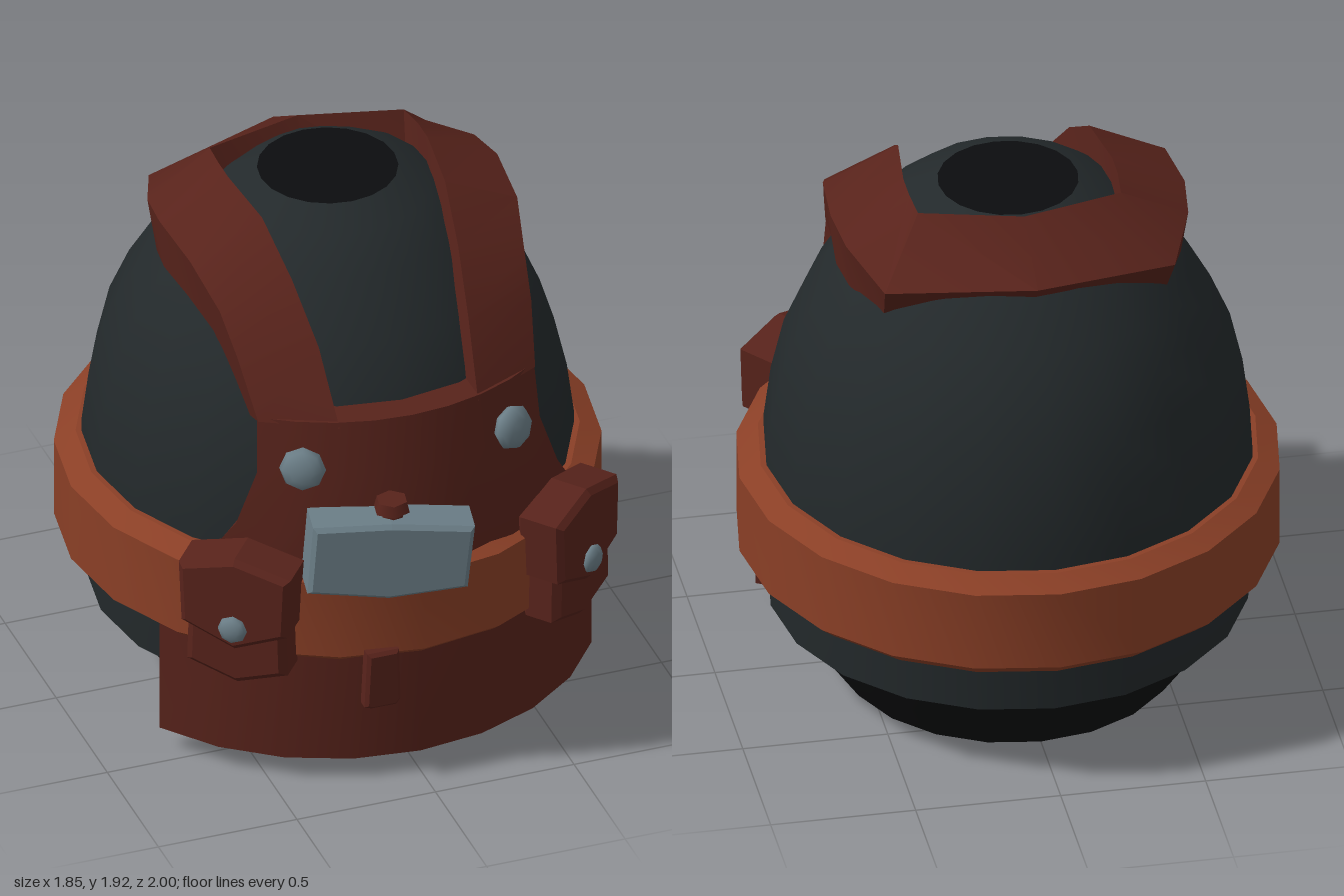
import * as THREE from 'three';
import { toCreasedNormals } from 'three/addons/utils/BufferGeometryUtils.js';

const CZ = -0.055; // depth of the body axis
const mat = (color) => new THREE.MeshStandardMaterial({ color });
const dark = mat(0x23292b), black = mat(0x0c0d0f), leather = mat(0x58231b);
const tan = mat(0x8a3f26), metal = mat(0x6c7f88);
dark.side = black.side = THREE.DoubleSide;

function add(parent, name, geometry, material, x = 0, y = 0, z = 0) {
  const mesh = new THREE.Mesh(geometry, material);
  mesh.name = name;
  mesh.position.set(x, y, z);
  parent.add(mesh);
  return mesh;
}

function lathe(profile, crease) {
  const g = new THREE.LatheGeometry(profile.map(([r, y]) => new THREE.Vector2(r, y)), 20);
  g.scale(0.98, 1, 1);
  return toCreasedNormals(g, crease);
}

// Joins closed sections into a solid slab; the first half of a section is
// its outer side, the second half its inner side in reverse.
function loft(sections) {
  const n = sections[0].length, pos = [];
  const quad = (a, b, c, d) => pos.push(...a, ...b, ...c, ...a, ...c, ...d);
  for (let i = 0; i < sections.length - 1; i++) {
    const a = sections[i], b = sections[i + 1];
    for (let j = 0; j < n; j++) {
      const k = (j + 1) % n;
      quad(a[j], a[k], b[k], b[j]);
    }
  }
  const s = sections[0], e = sections[sections.length - 1];
  for (let j = 0; j < n / 2 - 1; j++) {
    quad(s[j], s[n - 1 - j], s[n - 2 - j], s[j + 1]);
    quad(e[j], e[j + 1], e[n - 2 - j], e[n - 1 - j]);
  }
  const g = new THREE.BufferGeometry();
  g.setAttribute('position', new THREE.Float32BufferAttribute(pos, 3));
  return toCreasedNormals(g, 0.45);
}

// Curved panel wrapped on the body: rows of [y, half width, radius, thickness]
function wrapPanel(rows, columns = 8) {
  return loft(rows.map(([y, half, r, thick]) => {
    const outer = [], inner = [];
    const a = Math.asin(half / r);
    for (let i = 0; i <= columns; i++) {
      const t = a * (2 * i / columns - 1);
      const at = (q) => [q * Math.sin(t), y, q * Math.cos(t) + CZ];
      outer.push(at(r));
      inner.unshift(at(r - thick));
    }
    return [...outer, ...inner];
  }));
}

// Flat outline pushed to a thickness with a small bevel, centred on z
function plate(points, depth, bevel) {
  const shape = new THREE.Shape(points.map(([x, y]) => new THREE.Vector2(x, y)));
  const g = new THREE.ExtrudeGeometry(shape, {
    depth: depth - 2 * bevel, bevelEnabled: true, bevelSegments: 1,
    bevelSize: bevel, bevelThickness: bevel, bevelOffset: -bevel,
  });
  g.translate(0, 0, bevel - depth / 2);
  return g;
}

function rivet(r) {
  const g = new THREE.SphereGeometry(r, 8, 6);
  g.rotateX(Math.PI / 2);
  g.scale(1, 1, 0.55);
  return g;
}

export function createModel() {
  const model = new THREE.Group();
  model.name = 'apronedTorso';

  // Body shell, neck opening and rounded base
  add(model, 'body', lathe([[0.76, 0.28], [0.835, 0.28], [0.85, 0.55], [0.85, 0.88],
    [0.825, 1.07], [0.78, 1.26], [0.71, 1.42], [0.63, 1.55], [0.48, 1.73],
    [0.36, 1.83], [0.24, 1.885]], 0.8), dark, 0, 0, CZ);
  const neck = add(model, 'neckOpening', new THREE.CircleGeometry(0.24, 20), black, 0, 1.885, CZ);
  neck.rotation.x = -Math.PI / 2;
  add(model, 'base', lathe([[0, 0], [0.59, 0], [0.69, 0.14], [0.77, 0.285]], 0.6), black, 0, 0, CZ);

  // Belt
  add(model, 'belt', lathe([[0.84, 0.455], [0.885, 0.46], [0.945, 0.51], [0.945, 0.8],
    [0.87, 0.84], [0.84, 0.84]], 0.4), tan, 0, 0, CZ);

  // Apron skirt and bib
  add(model, 'apronSkirt', wrapPanel([[0.08, 0.78, 0.91, 0.04], [0.5, 0.78, 0.91, 0.04],
    [0.7, 0.72, 0.91, 0.05]]), leather);
  add(model, 'apronBib', wrapPanel([[0.68, 0.72, 0.905, 0.1], [0.84, 0.66, 0.9, 0.1],
    [0.98, 0.58, 0.89, 0.1], [1.18, 0.51, 0.86, 0.1], [1.38, 0.5, 0.83, 0.12]]), leather);

  // Shoulder strap, from the left of the bib round the neck to the right:
  // inner edge x, y, z then outer edge x, y, z
  const half = [
    [0.25, 1.36, 0.74, 0.5, 1.37, 0.62], [0.27, 1.6, 0.59, 0.53, 1.56, 0.5],
    [0.3, 1.77, 0.41, 0.55, 1.68, 0.38], [0.33, 1.9, 0.2, 0.59, 1.78, 0.2],
    [0.36, 1.92, -0.05, 0.61, 1.8, -0.05], [0.36, 1.92, -0.15, 0.59, 1.78, -0.22],
    [0.35, 1.91, -0.26, 0.5, 1.72, -0.45],
  ];
  const mirrored = half.map(([a, b, c, d, e, f]) => [-a, b, c, -d, e, f]).reverse();
  const stations = [...half, [0, 1.91, -0.35, 0, 1.76, -0.59], ...mirrored];
  const sink = ([x, y, z]) => {
    const k = 0.14 + 0.2 * (y - 1.15);
    return [x * 0.97, y - (y - 1.1) * k, z - (z - CZ) * k];
  };
  add(model, 'shoulderStrap', loft(stations.map((s) => {
    const inner = s.slice(0, 3), outer = s.slice(3);
    return [inner, outer, sink(outer), sink(inner)];
  })), leather);

  for (const side of [1, -1]) {
    // Bib rivets
    const stud = add(model, 'bibRivet', rivet(0.08), metal, side * 0.38, 1.22, 0.73);
    stud.rotation.set(-0.15, side * 0.45, 0, 'YXZ');

    // Belt pouches with pointed flaps
    const pouch = new THREE.Group();
    pouch.name = side > 0 ? 'leftPouch' : 'rightPouch';
    pouch.position.set(side * 0.59, 0, 0.7);
    pouch.rotation.y = side * 0.68;
    add(pouch, 'pouchBody', plate([[-0.17, 0.8], [-0.18, 0.48], [0, 0.42], [0.18, 0.48],
      [0.17, 0.8]], 0.15, 0.025), leather, 0, 0, -0.01);
    add(pouch, 'pouchFlap', plate([[-0.2, 0.88], [-0.19, 0.65], [0, 0.57], [0.19, 0.65],
      [0.2, 0.88], [0, 0.93]], 0.18, 0.02), leather);
    add(pouch, 'pouchRivet', rivet(0.052), metal, 0, 0.66, 0.095);
    model.add(pouch);
  }

  // Tilted metal flask with its stopper, and the strap end below the belt
  const flask = new THREE.Group();
  flask.name = 'flask';
  flask.position.set(-0.12, 0.925, 0.87);
  flask.rotation.y = -0.2;
  add(flask, 'flaskBody', plate([[-0.27, 0.15], [-0.29, -0.11], [-0.01, -0.155], [0.26, -0.135],
    [0.285, 0.105], [0, 0.14]], 0.16, 0.015), metal);
  add(flask, 'flaskStopper', new THREE.CylinderGeometry(0.055, 0.065, 0.04, 6), leather, 0.01, 0.18, 0);
  add(flask, 'flaskNeck', new THREE.CylinderGeometry(0.04, 0.04, 0.06, 6), leather, 0.01, 0.145, 0);
  model.add(flask);
  add(model, 'strapEnd', plate([[-0.055, 0.12], [-0.065, -0.09], [-0.04, -0.1], [0.05, -0.1],
    [0.065, -0.08], [0.06, 0.12]], 0.06, 0.012), leather, -0.15, 0.41, 0.87);

  return model;
}
